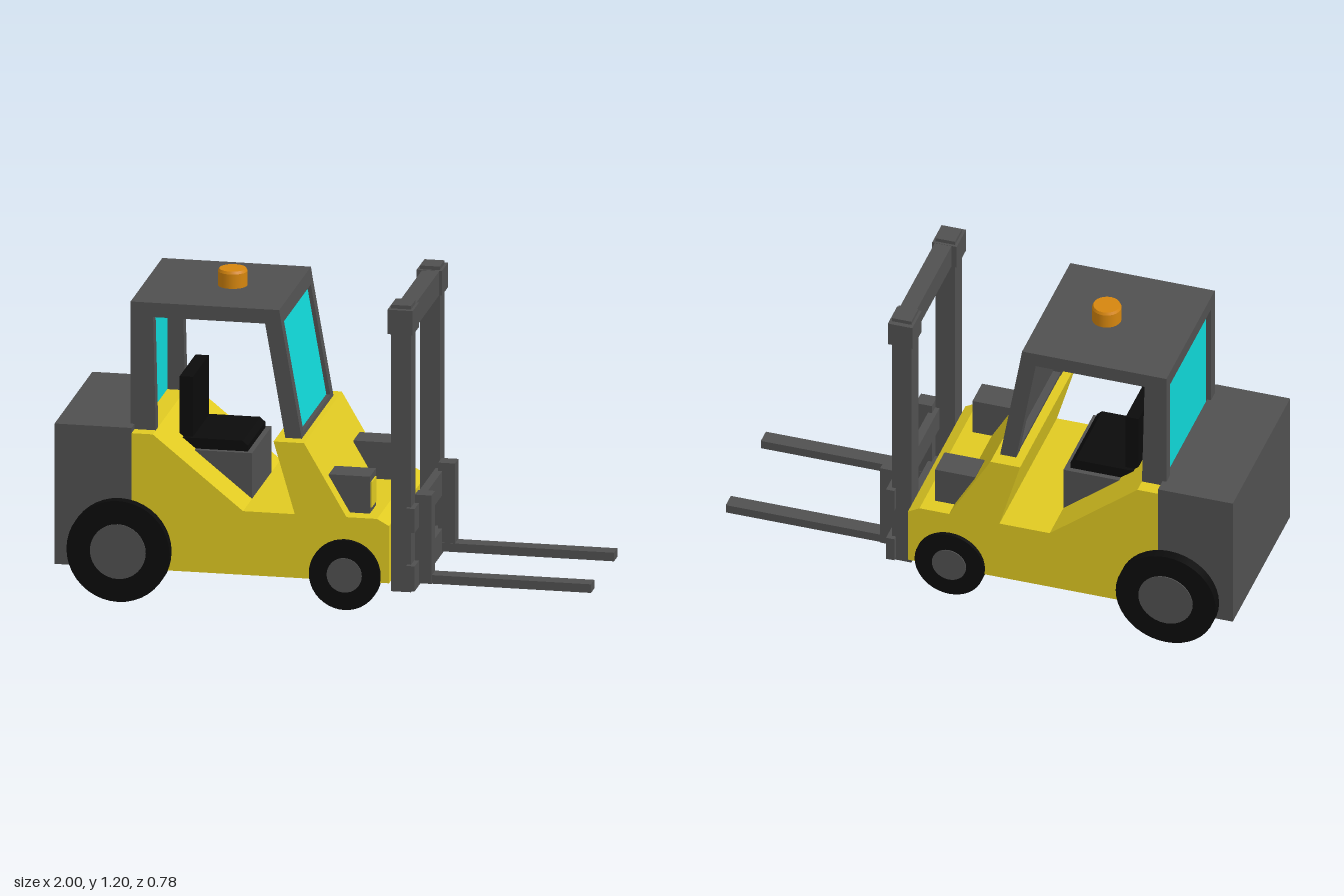
import * as THREE from 'three';

export function createModel() {
  const root = new THREE.Group();
  root.name = 'forklift';
  const mat = (name, color) => {
    const m = new THREE.MeshStandardMaterial({ color });
    m.name = name;
    return m;
  };
  const yellow = mat('yellow paint', 0xe0ca22);
  const grey = mat('dark grey steel', 0x505050);
  const black = mat('black rubber', 0x0b0b0b);
  const glass = mat('cyan glass', 0x10d8d8);
  const orange = mat('orange lamp', 0xd6860e);

  const add = (name, geometry, material) => {
    const mesh = new THREE.Mesh(geometry, material);
    mesh.name = name;
    root.add(mesh);
    return mesh;
  };
  // Box given by its limits on each axis
  const box = (name, m, x0, x1, y0, y1, z0, z1) => {
    const mesh = add(name, new THREE.BoxGeometry(x1 - x0, y1 - y0, z1 - z0), m);
    mesh.position.set((x0 + x1) / 2, (y0 + y1) / 2, (z0 + z1) / 2);
    return mesh;
  };
  // Side profile (x, y) extruded from z0 to z1
  const prism = (name, m, points, z0, z1) => {
    const shape = new THREE.Shape(points.map(([x, y]) => new THREE.Vector2(x, y)));
    const g = new THREE.ExtrudeGeometry(shape, { depth: z1 - z0, bevelEnabled: false });
    g.translate(0, 0, z0);
    return add(name, g, m);
  };
  // Both sides of the machine: z0 and z1 are distances from the centre plane
  const sides = (make) => [-1, 1].forEach(make);
  const boxPair = (name, m, x0, x1, y0, y1, z0, z1) => sides((s) =>
    box(name, m, x0, x1, y0, y1, s > 0 ? z0 : -z1, s > 0 ? z1 : -z0));
  const prismPair = (name, m, points, z0, z1) => sides((s) =>
    prism(name, m, points, s > 0 ? z0 : -z1, s > 0 ? z1 : -z0));

  // Chassis and counterweight
  prism('body', yellow, [
    [-0.71, 0.12], [0.26, 0.12], [0.26, 0.34], [0.215, 0.365], [0.1, 0.365], [-0.06, 0.64],
    [-0.175, 0.64], [-0.095, 0.365], [-0.29, 0.365], [-0.63, 0.64], [-0.71, 0.64],
  ], -0.345, 0.345);
  box('counterweight', grey, -1, -0.71, 0.12, 0.66, -0.345, 0.345);

  // Wheels
  const wheel = (name, x, r, hubR, z0, z1) => sides((s) => {
    const tyre = add(name + 'Tyre', new THREE.CylinderGeometry(r, r, z1 - z0, 40), black);
    tyre.rotation.x = Math.PI / 2;
    tyre.position.set(x, r + (name === 'frontWheel' ? 0.012 : 0), s * (z0 + z1) / 2);
    const hub = add(name + 'Hub', new THREE.CylinderGeometry(hubR, hubR, 0.008, 32), grey);
    hub.rotation.x = Math.PI / 2;
    hub.position.set(x, tyre.position.y, s * z1);
  });
  wheel('rearWheel', -0.753, 0.194, 0.105, 0.325, 0.386);
  wheel('frontWheel', 0.095, 0.134, 0.066, 0.325, 0.361);

  // Cab frame: front edge of the windscreen leans back with height
  const frontX = (y) => -0.08 - (y - 0.64) * 0.175;
  const slanted = (d0, d1, y0, y1) => [
    [frontX(y0) - d1, y0], [frontX(y0) - d0, y0], [frontX(y1) - d0, y1], [frontX(y1) - d1, y1],
  ];
  prism('roof', grey, [[-0.725, 1.075], [frontX(1.075), 1.075], [-0.165, 1.13], [-0.725, 1.13]], -0.29, 0.29);
  prismPair('frontPillar', grey, slanted(0, 0.062, 0.638, 1.076), 0.245, 0.29);
  prismPair('rearPillar', grey, [[-0.725, 0.638], [-0.63, 0.638], [-0.64, 1.076], [-0.725, 1.076]], 0.245, 0.29);
  prism('windscreenSill', grey, slanted(0, 0.06, 0.638, 0.656), -0.25, 0.25);
  prism('windscreen', glass, slanted(0.015, 0.022, 0.65, 1.076), -0.246, 0.246);
  prism('windscreenBacking', grey, slanted(0.022, 0.03, 0.65, 1.076), -0.246, 0.246);
  box('rearWindow', glass, -0.705, -0.697, 0.64, 1.076, -0.246, 0.246);

  // Warning beacon on the roof
  const beacon = add('beacon', new THREE.CylinderGeometry(0.05, 0.055, 0.01, 24), orange);
  beacon.position.set(-0.4, 1.19, 0);
  const beaconBase = add('beaconBase', new THREE.CylinderGeometry(0.055, 0.055, 0.057, 24), orange);
  beaconBase.position.set(-0.4, 1.1565, 0);

  // Driver's seat
  box('seatBase', grey, -0.55, -0.29, 0.36, 0.54, -0.18, 0.18);
  prism('seatCushion', black, [[-0.57, 0.54], [-0.31, 0.54], [-0.31, 0.562], [-0.33, 0.58], [-0.57, 0.58]], -0.16, 0.16);
  box('seatBack', black, -0.57, -0.52, 0.54, 0.81, -0.145, 0.145);

  // Headlights on the bonnet
  boxPair('headlightHousing', grey, 0.02, 0.175, 0.36, 0.507, 0.168, 0.282);
  boxPair('headlightLens', yellow, 0.174, 0.18, 0.385, 0.482, 0.183, 0.267);

  // Lifting mast
  boxPair('mastPost', grey, 0.26, 0.335, 0.078, 1.18, 0.22, 0.304);
  boxPair('mastCollar', grey, 0.25, 0.345, 1.072, 1.166, 0.21, 0.323);
  box('mastTopBar', grey, 0.27, 0.335, 1.073, 1.165, -0.22, 0.22);

  // Carriage bars and forks
  box('upperCarriageBar', grey, 0.32, 0.352, 0.312, 0.405, -0.323, 0.323);
  box('lowerCarriageBar', grey, 0.32, 0.352, 0.088, 0.184, -0.323, 0.323);
  boxPair('forkUpright', grey, 0.337, 0.4, 0.097, 0.437, 0.182, 0.245);
  boxPair('fork', grey, 0.34, 1, 0.097, 0.13, 0.18, 0.241);

  return root;
}
